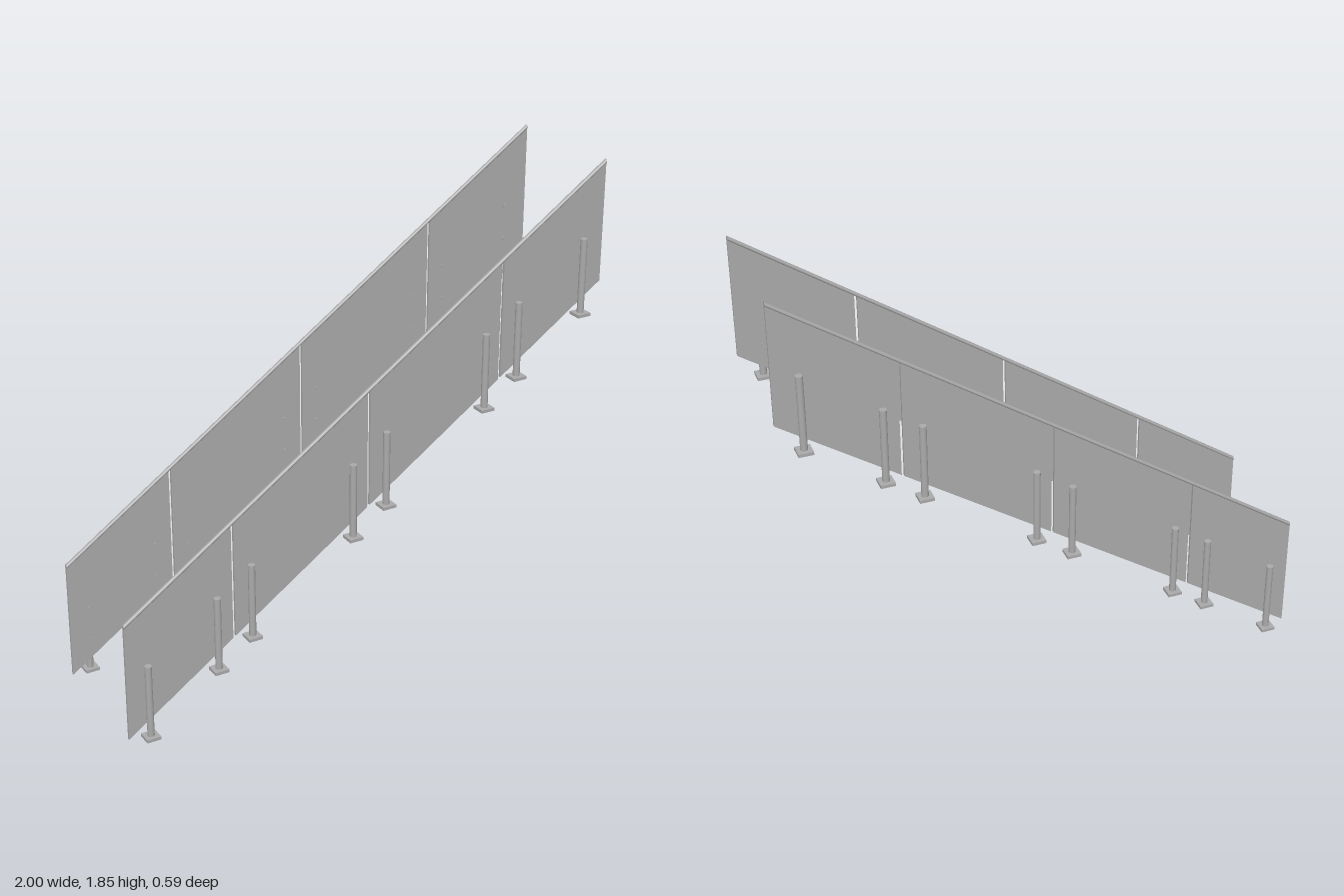
import * as THREE from 'three';

const SLOPE = 0.685;
const PANEL_Z = 0.249;
const POST_Z = 0.268;

// Tilts a geometry along the stair pitch while keeping its ends vertical
function shear(geometry) {
  const p = geometry.attributes.position;
  for (let i = 0; i < p.count; i++) p.setY(i, p.getY(i) + SLOPE * (p.getX(i) + 1));
  geometry.computeVertexNormals();
  return geometry;
}

function addMesh(parent, name, geometry, material, x = 0, y = 0, z = 0) {
  const mesh = new THREE.Mesh(geometry, material);
  mesh.name = name;
  mesh.position.set(x, y, z);
  parent.add(mesh);
  return mesh;
}

function createBalustrade(material) {
  const side = new THREE.Group();

  // Sloping infill panels with narrow gaps
  const joints = [-1, -0.567, -0.005, 0.558, 1];
  for (let i = 0; i < 4; i++) {
    const x0 = joints[i] + (i > 0 ? 0.005 : 0);
    const x1 = joints[i + 1] - (i < 3 ? 0.005 : 0);
    const panel = new THREE.BoxGeometry(x1 - x0, 0.458, 0.01);
    panel.translate((x0 + x1) / 2, 0.239, 0);
    addMesh(side, 'panel', shear(panel), material, 0, 0, PANEL_Z);
  }

  // Round handrail along the top edge
  const rail = new THREE.CylinderGeometry(0.0085, 0.0085, 2, 20);
  rail.rotateZ(Math.PI / 2).translate(0, 0.474, 0);
  addMesh(side, 'handrail', shear(rail), material, 0, 0, PANEL_Z);

  // Posts with base plates and panel bolts
  const plateGeo = new THREE.BoxGeometry(0.055, 0.012, 0.055);
  const postGeo = new THREE.CylinderGeometry(0.0132, 0.0132, 0.29, 24);
  const boltGeo = new THREE.CylinderGeometry(0.006, 0.006, 0.024, 12).rotateX(Math.PI / 2);
  for (const x of [-0.92, -0.64, -0.5, -0.078, 0.062, 0.485, 0.625, 0.907]) {
    const post = new THREE.Group();
    post.name = 'post';
    post.position.set(x, 0.692 * (x + 0.92), 0);
    addMesh(post, 'basePlate', plateGeo, material, 0, 0.006, POST_Z);
    addMesh(post, 'postTube', postGeo, material, 0, 0.157, POST_Z);
    for (const y of [0.145, 0.278]) addMesh(post, 'bolt', boltGeo, material, 0, y, 0.252);
    side.add(post);
  }
  return side;
}

export function createModel() {
  const steel = new THREE.MeshStandardMaterial({ color: 0xaaaaaa });
  steel.name = 'grey steel';
  const model = new THREE.Group();
  model.name = 'stairBalustrades';

  const front = createBalustrade(steel);
  front.name = 'frontBalustrade';
  model.add(front);

  // The back side mirrors the front across z
  const back = createBalustrade(steel);
  back.name = 'backBalustrade';
  back.scale.z = -1;
  model.add(back);
  return model;
}
